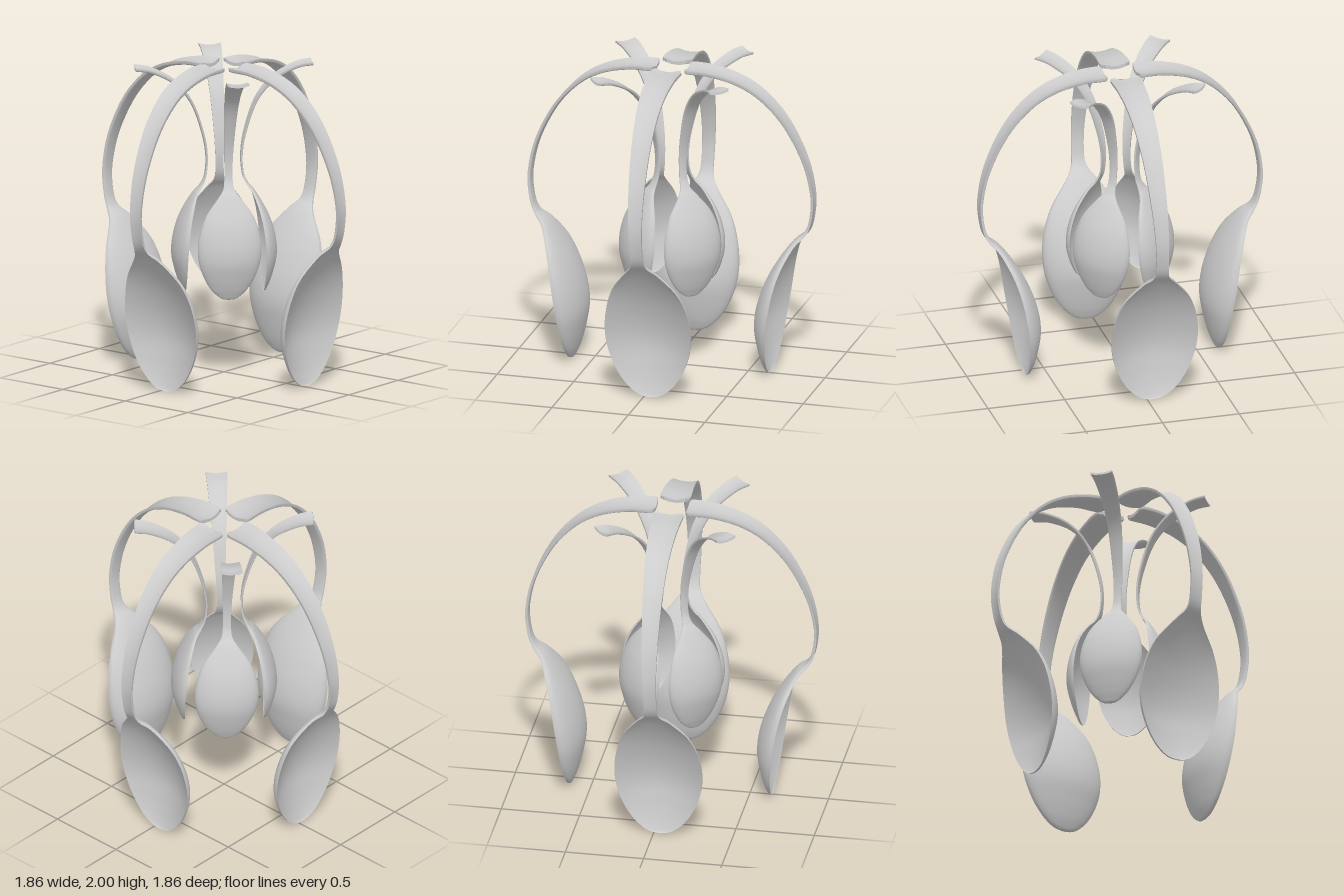
import * as THREE from 'three';
import { toCreasedNormals } from 'three/addons/utils/BufferGeometryUtils.js';

// Stations from handle end to bowl tip: [radius, height, half width, dish depth]
const LARGE = [
  [0.10, 1.998, 0.066, 0.018], [0.125, 1.998, 0.096, 0.02], [0.27, 1.99, 0.09, 0.018],
  [0.45, 1.942, 0.08, 0.015], [0.61, 1.845, 0.07, 0.012], [0.76, 1.675, 0.06, 0.01],
  [0.878, 1.435, 0.05, 0.007], [0.926, 1.21, 0.042, 0.005], [0.914, 1.04, 0.04, 0.005],
  [0.878, 0.945, 0.05, 0.008], [0.815, 0.875, 0.105, 0.02], [0.757, 0.75, 0.204, 0.05],
  [0.72, 0.62, 0.257, 0.085], [0.692, 0.47, 0.28, 0.113], [0.671, 0.33, 0.269, 0.114],
  [0.658, 0.2, 0.226, 0.083], [0.649, 0.1, 0.167, 0.05], [0.645, 0.04, 0.108, 0.025],
  [0.643, 0.012, 0.058, 0.01], [0.643, 0.003, 0.006, 0],
];
const SMALL = [
  [0.56, 1.998, 0.07, 0.016], [0.46, 1.978, 0.064, 0.012], [0.315, 1.9, 0.054, 0.01],
  [0.2, 1.76, 0.044, 0.007], [0.13, 1.56, 0.033, 0.005], [0.107, 1.41, 0.027, 0.003],
  [0.116, 1.28, 0.026, 0.003], [0.145, 1.21, 0.036, 0.005], [0.178, 1.16, 0.074, 0.012],
  [0.209, 1.07, 0.143, 0.034], [0.23, 0.975, 0.182, 0.058], [0.243, 0.87, 0.201, 0.074],
  [0.249, 0.77, 0.193, 0.075], [0.25, 0.675, 0.161, 0.055], [0.25, 0.6, 0.117, 0.032],
  [0.249, 0.558, 0.076, 0.016], [0.248, 0.535, 0.04, 0.007], [0.248, 0.528, 0.005, 0],
];

// Sweeps a dished strip along the bent profile; side is +1 when the belly faces inward
function spoonGeometry(stations, side, thickness, drift) {
  const smooth = (f) => new THREE.CatmullRomCurve3(stations.map(f), false, 'catmullrom', 0.5);
  const path = smooth((s) => new THREE.Vector3(s[0], s[1], 0));
  const form = smooth((s) => new THREE.Vector3(s[2], s[3], 0));
  const rows = (stations.length - 1) * 5, across = 24, ring = 2 * (across + 1);
  const pos = [], index = [];
  for (let i = 0; i <= rows; i++) {
    const t = i / rows;
    const p = path.getPoint(t), d = path.getTangent(t), f = form.getPoint(t);
    const nr = d.y * side, ny = -d.x * side; // direction of the belly
    const thick = thickness * (1 - 0.4 * t) * Math.min(1, f.x / 0.03);
    for (let k = 0; k < ring; k++) {
      const under = k > across;
      const angle = ((under ? ring - 1 - k : k) / across - 0.5) * Math.PI;
      const u = Math.sin(angle), c = Math.max(0, Math.cos(angle));
      // Shallow hollow above, fuller rounded belly below
      const depth = under ? f.y * Math.pow(c, 1.2) + thick : f.y * 0.85 * c * c;
      pos.push(u * f.x + drift(p.y), Math.max(0, p.y + ny * depth), p.x + nr * depth);
    }
  }
  const quad = (a, b, c, d) => (side > 0 ? index.push(a, b, d, b, c, d) : index.push(a, d, b, b, d, c));
  for (let i = 0; i < rows; i++) {
    for (let k = 0; k < ring; k++) {
      const a = i * ring, b = a + ring, n = (k + 1) % ring;
      quad(a + k, b + k, b + n, a + n);
    }
  }
  // Caps at the handle end and the tip
  const last = rows * ring;
  for (let k = 0; k < across; k++) {
    const m = ring - 1 - k;
    quad(k, k + 1, m - 1, m);
    quad(last + m, last + m - 1, last + k + 1, last + k);
  }
  const g = new THREE.BufferGeometry();
  g.setAttribute('position', new THREE.Float32BufferAttribute(pos, 3));
  g.setIndex(index);
  return toCreasedNormals(g, 0.7);
}

export function createModel() {
  const model = new THREE.Group();
  model.name = 'spoonChime';
  const material = new THREE.MeshStandardMaterial({ color: 0xcccccc });
  const large = spoonGeometry(LARGE, 1, 0.018, (y) => 0.037 * Math.min(1, (2 - y) / 1.4));
  const small = spoonGeometry(SMALL, -1, 0.012, (y) => 0.003 + 0.016 * (y - 0.6));

  // Four large spoons on the axes, four small ones on the diagonals
  for (let i = 0; i < 4; i++) {
    const outer = new THREE.Mesh(large, material);
    outer.name = 'largeSpoon' + (i + 1);
    outer.rotation.y = i * Math.PI / 2;
    const inner = new THREE.Mesh(small, material);
    inner.name = 'smallSpoon' + (i + 1);
    inner.rotation.y = (i + 0.5) * Math.PI / 2;
    model.add(outer, inner);
  }
  return model;
}
